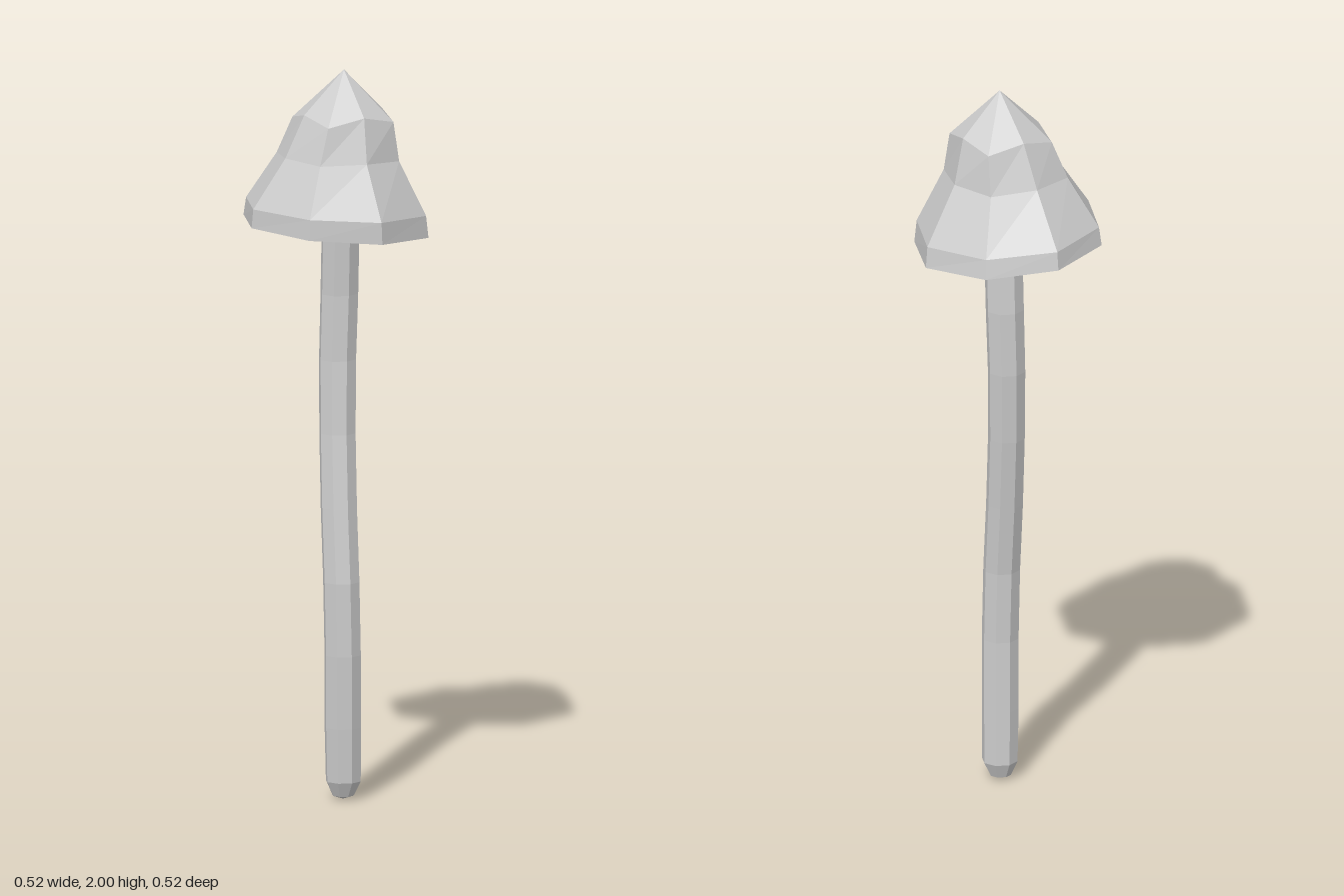
import * as THREE from 'three';

const SIDES = 8;

// Skins rings listed as { c: [x, y, z], r, d, tilt: [tx, tz], drop }.
// d is the radius of the diagonal corners; drop lowers those corners.
function loft(name, rings) {
  const pos = [], index = [];
  for (const { c, r, d = r, tilt = [0, 0], drop = 0 } of rings) {
    for (let i = 0; i < SIDES; i++) {
      const a = (i / SIDES) * Math.PI * 2, rad = i % 2 ? d : r;
      const x = rad * Math.cos(a), z = rad * Math.sin(a);
      pos.push(c[0] + x, c[1] + x * tilt[0] + z * tilt[1] - (i % 2 ? drop : 0), c[2] + z);
    }
  }
  for (let j = 0; j < rings.length - 1; j++) {
    for (let i = 0; i < SIDES; i++) {
      const n = (i + 1) % SIDES, lo = j * SIDES, up = lo + SIDES;
      if (rings[j].r > 0) index.push(lo + i, up + i, lo + n);
      if (rings[j + 1].r > 0) index.push(lo + n, up + i, up + n);
    }
  }
  const geo = new THREE.BufferGeometry();
  geo.setAttribute('position', new THREE.Float32BufferAttribute(pos, 3));
  geo.setIndex(index);
  geo.computeVertexNormals();
  const mesh = new THREE.Mesh(geo, new THREE.MeshStandardMaterial({ color: 0xcccccc, flatShading: true }));
  mesh.name = name;
  return mesh;
}

export function createModel() {
  const group = new THREE.Group();
  group.name = 'mushroom';

  // Curved stem with a rounded foot, running up inside the cap
  group.add(loft('stem', [
    { c: [-0.003, 0, 0.048], r: 0 },
    { c: [-0.003, 0.01, 0.048], r: 0.03 },
    { c: [-0.003, 0.05, 0.05], r: 0.049 },
    { c: [-0.008, 0.2, 0.056], r: 0.051 },
    { c: [-0.012, 0.4, 0.063], r: 0.051 },
    { c: [-0.013, 0.6, 0.057], r: 0.051 },
    { c: [-0.008, 0.8, 0.034], r: 0.051 },
    { c: [0.001, 1.0, 0.01], r: 0.051 },
    { c: [0.009, 1.2, -0.004], r: 0.052 },
    { c: [0.014, 1.38, -0.003], r: 0.053 },
    { c: [0.011, 1.55, 0.009], r: 0.053 },
    { c: [0.008, 1.76, 0.02], r: 0.05 },
    { c: [0.008, 1.78, 0.02], r: 0 },
  ]));

  // Bell cap: hollow underside out to the tilted rim, then up to the point
  group.add(loft('cap', [
    { c: [0.007, 1.77, 0.02], r: 0 },
    { c: [0.007, 1.7, 0.02], r: 0.11, tilt: [-0.05, -0.02] },
    { c: [0.002, 1.565, 0.0], r: 0.26, tilt: [-0.07, -0.03] },
    { c: [0, 1.62, 0.004], r: 0.255, d: 0.253, tilt: [-0.06, -0.01] },
    { c: [-0.003, 1.765, 0.02], r: 0.162, d: 0.172, tilt: [-0.03, 0], drop: 0.005 },
    { c: [0.008, 1.885, 0.028], r: 0.119, d: 0.142, drop: 0.022 },
    { c: [0.01, 2, 0.03], r: 0 },
  ]));

  return group;
}
